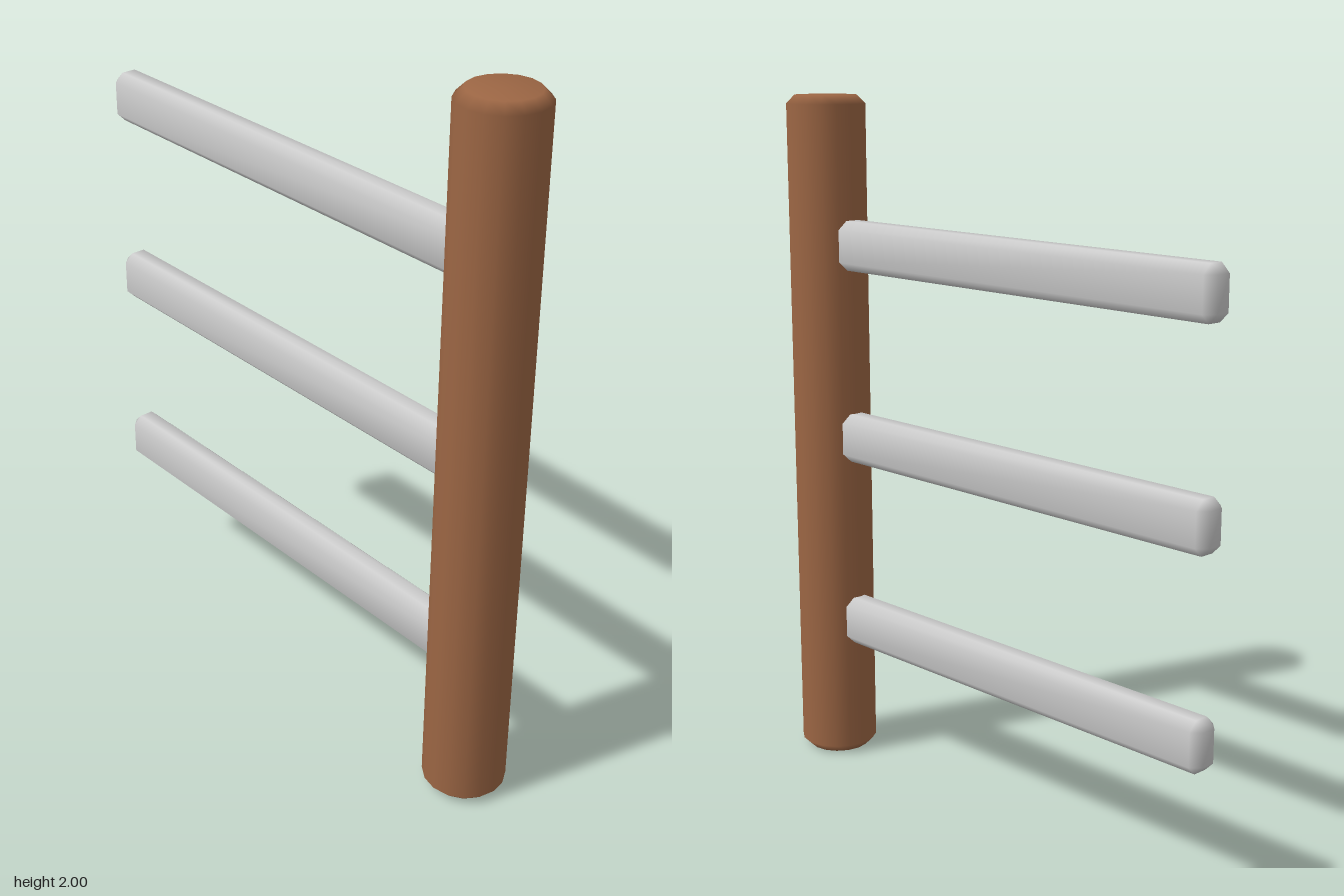
import * as THREE from 'three';
import { mergeVertices } from 'three/addons/utils/BufferGeometryUtils.js';
import { ConvexGeometry } from 'three/addons/geometries/ConvexGeometry.js';

// Box with chamfered edges and smooth normals
function chamferBox(w, h, d, c) {
  const points = [];
  for (const sx of [-1, 1]) for (const sy of [-1, 1]) for (const sz of [-1, 1]) {
    for (let axis = 0; axis < 3; axis++) {
      const half = [w / 2, h / 2, d / 2].map((v, i) => (i === axis ? v : v - c));
      points.push(new THREE.Vector3(sx * half[0], sy * half[1], sz * half[2]));
    }
  }
  const hull = new ConvexGeometry(points);
  hull.deleteAttribute('normal');
  const geometry = mergeVertices(hull, 1e-4);
  geometry.computeVertexNormals();
  return geometry;
}

export function createModel() {
  const group = new THREE.Group();
  const wood = new THREE.MeshStandardMaterial({ color: 0x9c6644 });
  wood.name = 'brown wood';
  const paint = new THREE.MeshStandardMaterial({ color: 0xcccccc });
  paint.name = 'light grey';

  // Round post with chamfered ends
  const r = 0.115, c = 0.025;
  const profile = [[0, 0], [r - c, 0], [r, c], [r, 2 - c], [r - c, 2], [0, 2]]
    .map(([x, y]) => new THREE.Vector2(x, y));
  const post = new THREE.Mesh(new THREE.LatheGeometry(profile, 16), wood);
  post.name = 'post';
  post.position.x = 0.685;
  group.add(post);

  // Three rails set into the post
  const left = -0.8, right = 0.685;
  const railGeometry = chamferBox(right - left, 0.144, 0.092, 0.025);
  [0.432, 1.003, 1.574].forEach((y, i) => {
    const rail = new THREE.Mesh(railGeometry, paint);
    rail.name = ['lowerRail', 'middleRail', 'upperRail'][i];
    rail.position.set((left + right) / 2, y, 0);
    group.add(rail);
  });
  return group;
}
